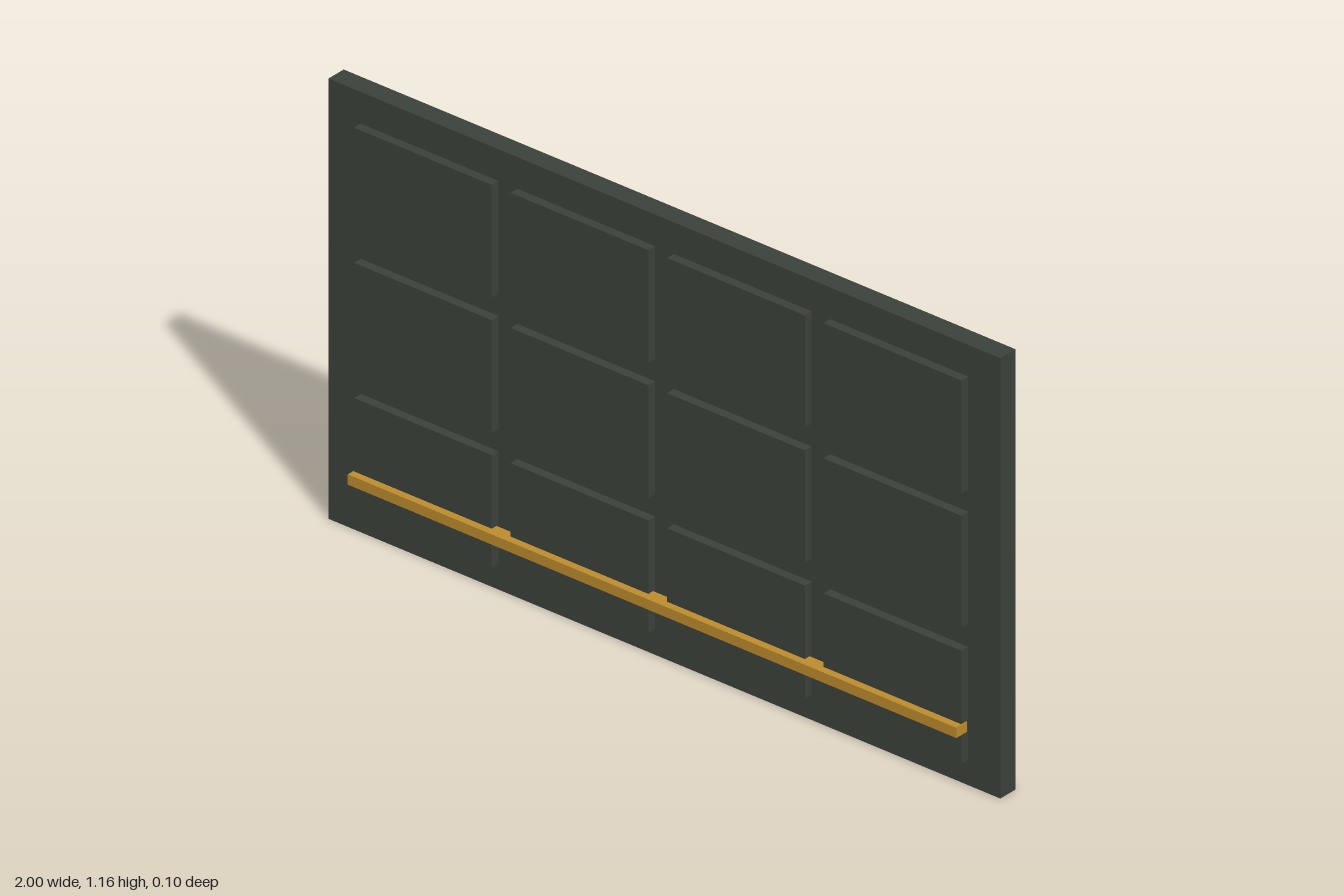
import * as THREE from 'three';

export function createModel() {
  const group = new THREE.Group();
  const slate = new THREE.MeshStandardMaterial({ color: 0x3b423b });
  slate.name = 'dark slate green';
  const gold = new THREE.MeshStandardMaterial({ color: 0xbd8c2d });
  gold.name = 'gold';

  // Box given by its centre x, y range and z range
  function addBox(name, material, x, width, y0, y1, z0, z1) {
    const mesh = new THREE.Mesh(new THREE.BoxGeometry(width, y1 - y0, z1 - z0), material);
    mesh.position.set(x, (y0 + y1) / 2, (z0 + z1) / 2);
    mesh.name = name;
    group.add(mesh);
  }

  // Backing slab
  addBox('backingSlab', slate, 0, 2, 0, 1.16, -0.049, 0.005);

  // Raised panels, four columns by three rows
  for (let row = 0; row < 3; row++) {
    for (let col = 0; col < 4; col++) {
      const y = 0.216 + row * 0.356;
      addBox(`raisedPanel${row + 1}_${col + 1}`, slate,
        (col - 1.5) * 0.466, 0.41, y - 0.1485, y + 0.1485, 0.005, 0.029);
    }
  }

  // Trim rail across the bottom row, sunk into the panels
  addBox('trimRail', gold, 0, 1.812, 0.144, 0.171, 0.012, 0.049);

  return group;
}
